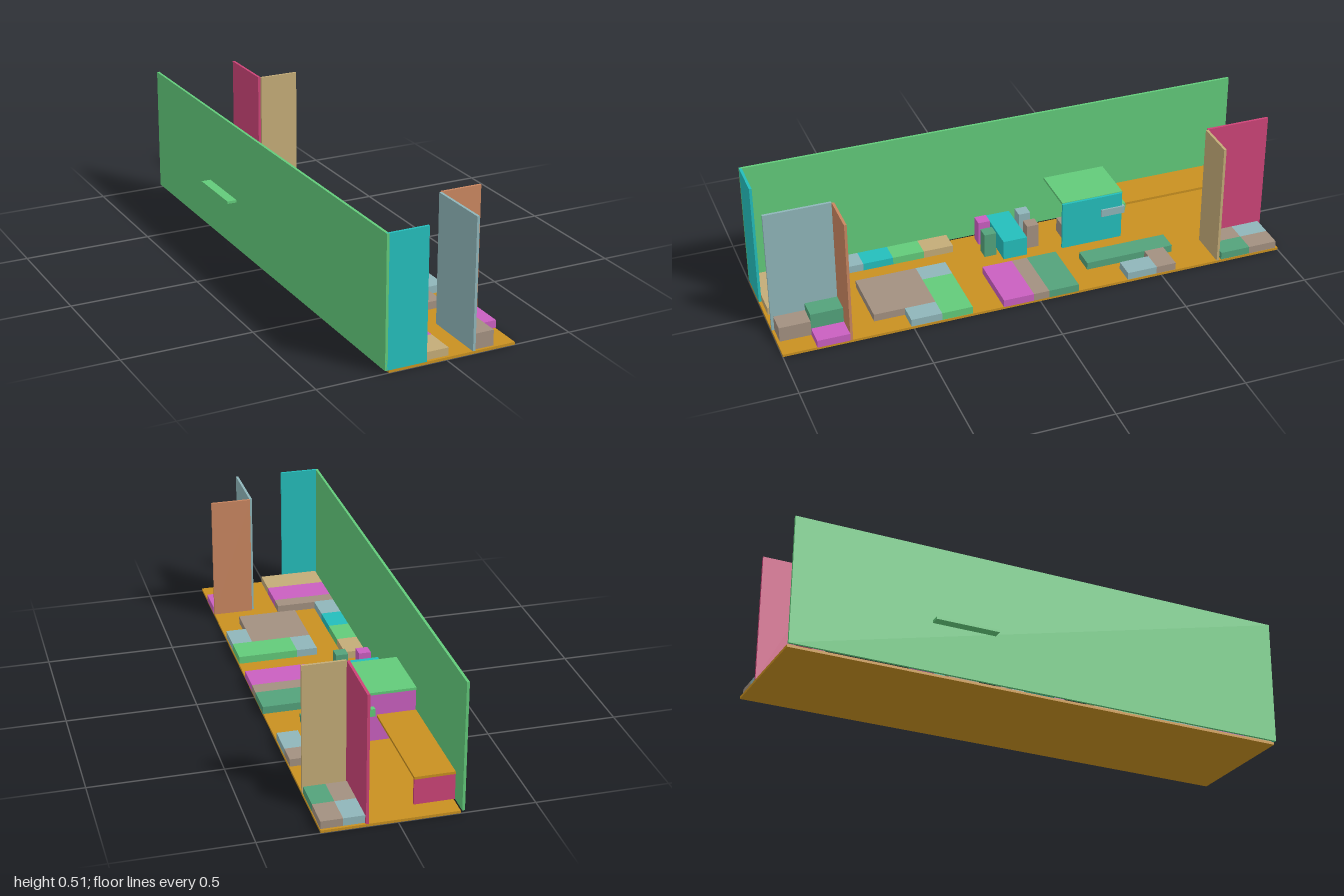
import * as THREE from 'three';

const palette = {
  gold: 0xc89020, cyan: 0x24bdbb, lightGreen: 0x62ca7a, green: 0x53a27b, magenta: 0xc95fc0,
  crimson: 0xcc4477, terracotta: 0xc98660, tan: 0xc3ab77, brown: 0xa29080, greyBlue: 0x8fb5b9,
};

export function createModel() {
  const model = new THREE.Group();
  model.name = 'roomLayout';
  const mats = {};
  for (const [name, color] of Object.entries(palette)) {
    mats[name] = new THREE.MeshStandardMaterial({ color });
    mats[name].name = name;
  }

  // Box given by its min and max on each axis
  function box(name, mat, x0, x1, y0, y1, z0, z1) {
    const mesh = new THREE.Mesh(new THREE.BoxGeometry(x1 - x0, y1 - y0, z1 - z0), mats[mat]);
    mesh.position.set((x0 + x1) / 2, (y0 + y1) / 2, (z0 + z1) / 2);
    mesh.name = name;
    model.add(mesh);
  }
  const F = 0.01; // floor level

  // Floor and walls
  box('floor', 'gold', -0.225, 0.275, 0, F, -1, 1);
  box('longWall', 'lightGreen', -0.24, -0.23, F, 0.51, -1, 1);
  box('frontWall', 'cyan', -0.238, -0.078, F, 0.51, 0.99, 1);
  box('frontNookSide', 'greyBlue', 0.105, 0.115, F, 0.51, 0.745, 1);
  box('frontNookBack', 'terracotta', 0.115, 0.275, F, 0.51, 0.735, 0.745);
  box('rearNookSide', 'crimson', 0.105, 0.115, F, 0.51, -1, -0.745);
  box('rearNookFront', 'tan', 0.115, 0.275, F, 0.51, -0.745, -0.735);

  // Long counter with end panel
  box('counterTop', 'gold', -0.23, -0.08, 0.11, 0.12, -0.92, -0.46);
  box('counterEnd', 'crimson', -0.23, -0.08, F, 0.11, -0.92, -0.91);

  // Booth
  box('boothRoof', 'lightGreen', -0.278, -0.028, 0.202, 0.212, -0.46, -0.208);
  box('boothSide', 'cyan', -0.028, -0.018, F, 0.21, -0.455, -0.205);
  box('boothBack', 'magenta', -0.23, -0.028, F, 0.202, -0.455, -0.445);
  box('boothSeat', 'brown', -0.145, -0.028, F, 0.07, -0.35, -0.23);
  box('boothScreen', 'lightGreen', -0.07, -0.028, 0.122, 0.153, -0.475, -0.37);
  box('boothLedge', 'greyBlue', -0.028, -0.011, 0.122, 0.153, -0.465, -0.367);

  // Table and four stools
  box('table', 'cyan', -0.23, -0.025, F, 0.09, -0.06, 0.037);
  for (const [mat, x, z] of [['greyBlue', -0.183, -0.1], ['brown', -0.09, -0.1],
    ['magenta', -0.18, 0.07], ['green', -0.09, 0.077]]) {
    box('stool', mat, x - 0.024, x + 0.024, F, 0.11, z - 0.024, z + 0.024);
  }

  // Low blocks: colour, x range, z range
  const lowBlocks = [
    // Rear nook
    ['greyBlue', 0.115, 0.193, -0.99, -0.875], ['brown', 0.193, 0.273, -0.99, -0.875],
    ['brown', 0.115, 0.193, -0.875, -0.755], ['green', 0.193, 0.273, -0.875, -0.755],
    // Corner seating
    ['green', 0.073, 0.155, -0.597, -0.24], ['brown', 0.155, 0.273, -0.56, -0.48],
    ['greyBlue', 0.193, 0.273, -0.48, -0.36],
    // Double seat
    ['green', 0.037, 0.277, -0.155, -0.035], ['brown', 0.037, 0.277, -0.035, 0.027],
    ['magenta', 0.037, 0.277, 0.027, 0.147],
    // Seating cluster
    ['lightGreen', 0.037, 0.273, 0.27, 0.39], ['greyBlue', -0.045, 0.037, 0.27, 0.39],
    ['brown', -0.045, 0.193, 0.39, 0.51], ['brown', -0.045, 0.193, 0.51, 0.63],
    ['greyBlue', 0.193, 0.273, 0.39, 0.51],
    // Row along the wall
    ['tan', -0.225, -0.143, 0.205, 0.325], ['lightGreen', -0.225, -0.143, 0.325, 0.45],
    ['cyan', -0.225, -0.143, 0.45, 0.57], ['greyBlue', -0.225, -0.143, 0.57, 0.69],
    ['brown', -0.225, 0.014, 0.685, 0.745], ['magenta', -0.225, 0.014, 0.745, 0.87],
    ['tan', -0.225, 0.014, 0.87, 0.989],
    // Front nook
    ['magenta', 0.195, 0.277, 0.745, 0.87],
  ];
  for (const [mat, x0, x1, z0, z1] of lowBlocks) box('lowSeat', mat, x0, x1, F, 0.04, z0, z1);

  // Taller blocks in the front nook
  box('nookCabinet', 'green', 0.115, 0.193, F, 0.1, 0.745, 0.87);
  box('nookBench', 'brown', 0.115, 0.193, F, 0.07, 0.87, 0.99);

  return model;
}
